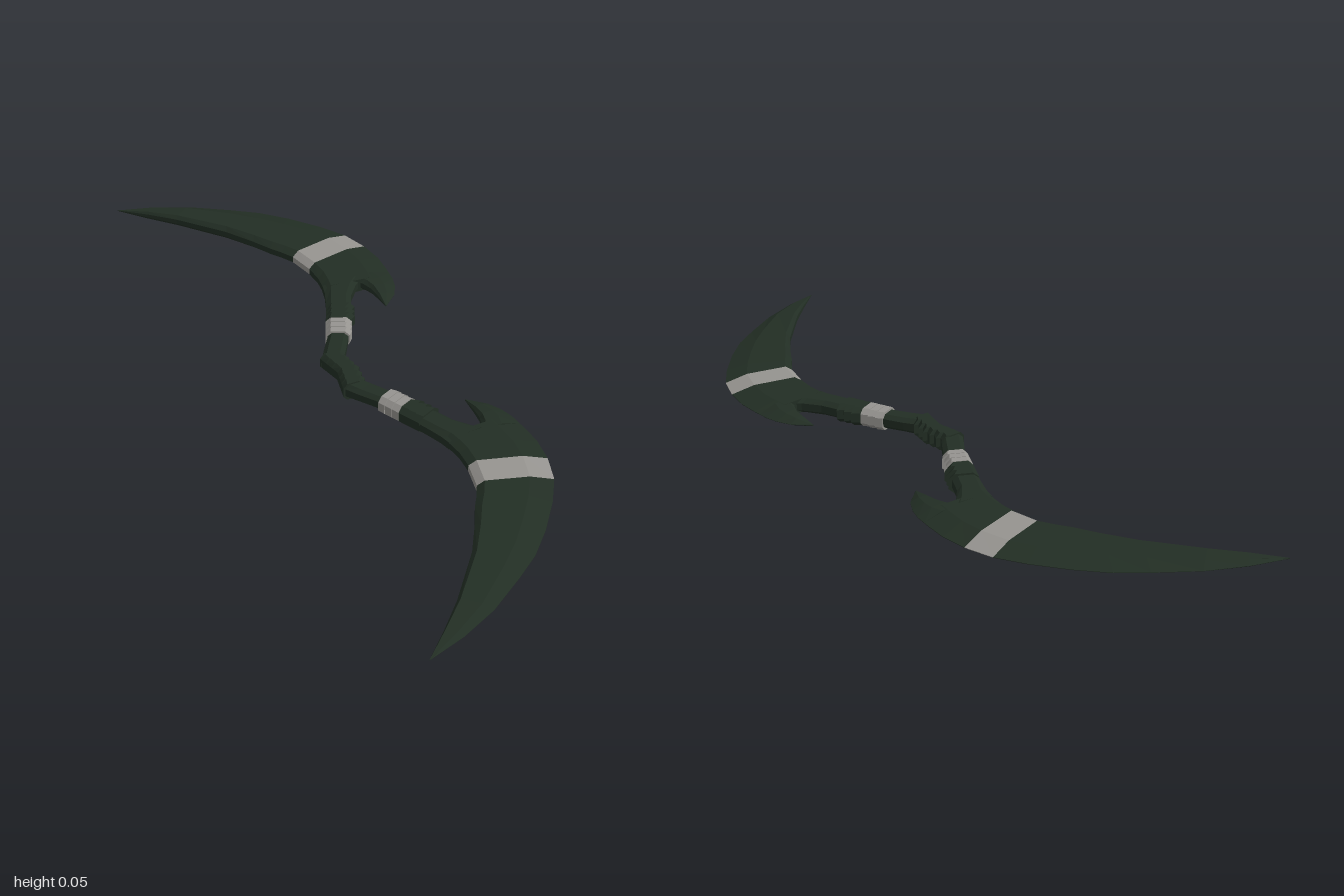
import * as THREE from 'three';

const MID = 0.03; // height of the flat symmetry plane

const green = new THREE.MeshStandardMaterial({ color: 0x222e24 });
green.name = 'darkGreen';
const grey = new THREE.MeshStandardMaterial({ color: 0x969490 });
grey.name = 'warmGrey';

const blunt = { bi: 0.2, bo: 0.2, ei: 0.5, eo: 0.5, slope: 1 };
const blade = { bi: 0.1, bo: 0.32, ei: 0.4, eo: 0.03, slope: 0.82 };
const barbEdge = { bi: 0.12, bo: 0.45, ei: 0.4, eo: 0.03, slope: 0.9 };

// Loft through stations [innerX, innerZ, outerX, outerZ, halfHeight], running towards -z.
// bi/bo: bevel widths, ei/eo: edge heights, slope: height of the outer shoulder.
function loft(stations, { bi, bo, ei, eo, slope }, side = 1) {
  const profile = [[0, ei], [bi, 1], [1 - bo, slope], [1, eo],
    [1, -eo], [1 - bo, -slope], [bi, -1], [0, -ei]];
  const n = profile.length;
  const pos = [];
  const idx = [];
  for (const [ix, iz, ox, oz, h] of stations) {
    for (const [t, y] of profile) {
      pos.push(ix + (ox - ix) * t, MID + y * h, side * (iz + (oz - iz) * t));
    }
  }
  const tri = (a, b, c) => (side > 0 ? idx.push(a, b, c) : idx.push(a, c, b));
  for (let k = 0; k < stations.length - 1; k++) {
    for (let j = 0; j < n; j++) {
      const a = k * n + j;
      const b = k * n + (j + 1) % n;
      tri(a, b, a + n);
      tri(b, b + n, a + n);
    }
  }
  const last = (stations.length - 1) * n;
  for (let j = 1; j < n - 1; j++) {
    tri(0, j + 1, j);
    tri(last, last + j, last + j + 1);
  }
  const indexed = new THREE.BufferGeometry();
  indexed.setAttribute('position', new THREE.Float32BufferAttribute(pos, 3));
  indexed.setIndex(idx);
  const g = indexed.toNonIndexed();
  g.computeVertexNormals();
  return g;
}

// Blade stations from the tip to the fork
const bladeTip = [
  [-0.29, 1.0, -0.289, 1.0, 0.001],
  [-0.22, 0.935, -0.19, 0.97, 0.012],
  [-0.155, 0.87, -0.09, 0.925, 0.017],
  [-0.05, 0.745, 0.01, 0.86, 0.02],
  [0.0, 0.665, 0.08, 0.81, 0.021],
  [0.03, 0.61, 0.145, 0.745, 0.022],
  [0.05, 0.58, 0.21, 0.665, 0.022],
  [0.07, 0.545, 0.255, 0.595, 0.022],
];
const bladeBand = [bladeTip[7], [0.087, 0.47, 0.28, 0.52, 0.022]];
const bladeRoot = [
  bladeBand[1],
  [0.09, 0.42, 0.29, 0.45, 0.022],
  [0.086, 0.385, 0.287, 0.39, 0.022],
  [0.08, 0.355, 0.282, 0.345, 0.022],
];
const barb = [
  [0.17, 0.375, 0.285, 0.37, 0.019],
  [0.192, 0.343, 0.282, 0.34, 0.018],
  [0.202, 0.315, 0.272, 0.305, 0.016],
  [0.205, 0.28, 0.252, 0.268, 0.012],
  [0.206, 0.23, 0.21, 0.23, 0.002],
];
const arm = [
  [0.084, 0.375, 0.2, 0.365, 0.021],
  [0.077, 0.345, 0.17, 0.342, 0.021],
  [0.06, 0.3, 0.135, 0.3, 0.021],
  [0.038, 0.25, 0.105, 0.235, 0.021],
  [-0.003, 0.152, 0.05, 0.135, 0.02],
  [-0.035, 0.105, 0.02, 0.085, 0.02],
  [-0.06, 0.065, 0.0, 0.055, 0.022],
];

// One wrap ring around the arm, flaring outwards into a tooth
function wrapRing(start, length, tooth) {
  const dx = 0.42, dz = 0.907;
  const section = (d, outer) => {
    const cx = 0.024 + dx * d, cz = 0.146 + dz * d;
    return [cx - dz * 0.032, cz + dx * 0.032, cx + dz * outer, cz - dx * outer, 0.026];
  };
  return [section(start + length, 0.032 + tooth), section(start, 0.032)];
}

export function createModel() {
  const model = new THREE.Group();
  model.name = 'curvedBow';
  const add = (name, stations, shape, material, side, parent) => {
    const mesh = new THREE.Mesh(loft(stations, shape, side), material);
    mesh.name = name;
    parent.add(mesh);
  };

  for (const side of [1, -1]) {
    const limb = new THREE.Group();
    limb.name = side > 0 ? 'frontLimb' : 'backLimb';
    model.add(limb);
    add('bladeTip', bladeTip, blade, green, side, limb);
    add('bladeBand', bladeBand, blade, grey, side, limb);
    add('bladeRoot', bladeRoot, blade, green, side, limb);
    add('barb', barb, barbEdge, green, side, limb);
    add('arm', arm, blunt, green, side, limb);
    // Three grey rings, then three dark toothed rings
    for (let i = 0; i < 6; i++) {
      const isGrey = i < 3;
      add(isGrey ? 'greyWrap' : 'darkWrap', wrapRing(i * 0.022, isGrey ? 0.02 : 0.022, isGrey ? 0.006 : 0.014),
        blunt, isGrey ? grey : green, side, limb);
    }
  }

  // Central grip with a row of small teeth along the outer side
  const grip = [];
  const teeth = 6;
  for (let i = 0; i < teeth; i++) {
    const z0 = 0.072 - (i * 0.144) / teeth;
    const z1 = z0 - 0.144 / teeth;
    const inner = (z) => -0.045 - 0.016 * Math.abs(z) / 0.072;
    const outer = (z) => 0.008 - 0.01 * Math.abs(z) / 0.072;
    grip.push([inner(z0), z0, outer(z0) - 0.004, z0, 0.025]);
    grip.push([inner(z1 + 0.004), z1 + 0.004, outer(z1) + 0.008, z1 + 0.004, 0.025]);
  }
  grip.push([-0.061, -0.072, -0.006, -0.072, 0.025]);
  add('grip', grip, blunt, green, 1, model);
  return model;
}
